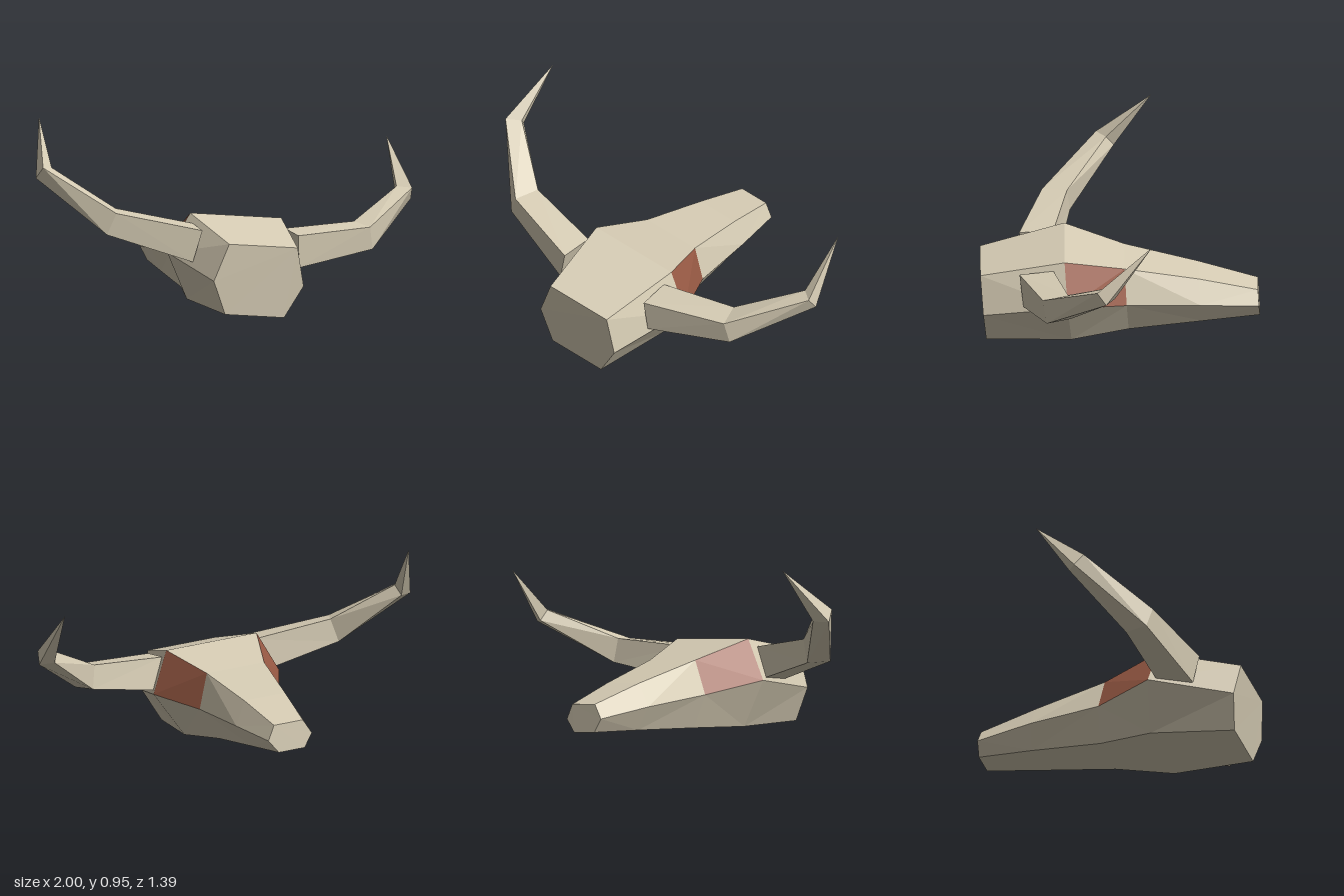
import * as THREE from 'three';

const bone = new THREE.MeshStandardMaterial({ color: 0xd6ccb4, flatShading: true });
bone.name = 'bone';
const rust = new THREE.MeshStandardMaterial({ color: 0x9c5c46, flatShading: true });
rust.name = 'rust';

// Faceted loft through rings of points; keep(i, j) chooses which side faces to make
function loft(rings, { keep = () => true, flip = () => false, caps = true } = {}) {
  const pos = [];
  const tri = (a, b, c) => {
    const n = b.clone().sub(a).cross(c.clone().sub(a));
    if (n.length() > 1e-7) for (const p of [a, b, c]) pos.push(p.x, p.y, p.z);
  };
  const n = rings[0].length;
  for (let i = 0; i < rings.length - 1; i++) {
    for (let j = 0; j < n; j++) {
      if (!keep(i, j)) continue;
      const k = (j + 1) % n;
      const a = rings[i][j], b = rings[i][k], c = rings[i + 1][k], d = rings[i + 1][j];
      if (flip(i, j)) { tri(a, d, b); tri(d, c, b); }
      else { tri(a, d, c); tri(a, c, b); }
    }
  }
  if (caps) {
    const s = rings[0], e = rings[rings.length - 1];
    for (let j = 1; j < n - 1; j++) {
      tri(s[0], s[j], s[j + 1]);
      tri(e[0], e[j + 1], e[j]);
    }
  }
  const g = new THREE.BufferGeometry();
  g.setAttribute('position', new THREE.Float32BufferAttribute(pos, 3));
  g.computeVertexNormals();
  return g;
}

const V = (x, y, z) => new THREE.Vector3(x, y, z);

export function createModel() {
  const model = new THREE.Group();
  model.name = 'hornedSkull';

  const add = (name, geometry, material) => {
    const mesh = new THREE.Mesh(geometry, material);
    mesh.name = name;
    model.add(mesh);
  };

  // Skull: hexagonal sections from cranium to snout,
  // each as [half width, y, z] of the top, middle and bottom corners
  const sections = [
    [[0.183, 0.375, 0.70], [0.24, 0.183, 0.685], [0.158, 0.018, 0.67]],
    [[0.244, 0.472, 0.28], [0.34, 0.265, 0.265], [0.205, 0.036, 0.245]],
    [[0.155, 0.398, -0.02], [0.215, 0.225, -0.03], [0.13, 0.06, -0.04]],
    [[0.11, 0.323, -0.39], [0.17, 0.205, -0.40], [0.10, 0.09, -0.41]],
    [[0.078, 0.25, -0.685], [0.117, 0.177, -0.69], [0.07, 0.11, -0.695]],
  ];
  const rings = sections.map(([t, m, b]) => [
    V(...t), V(-t[0], t[1], t[2]), V(-m[0], m[1], m[2]),
    V(-b[0], b[1], b[2]), V(...b), V(...m),
  ]);
  const flip = (i, j) => (i + (j > 3 ? 1 : 0)) % 2 === 1;
  const isSocket = (i, j) => i === 1 && (j === 1 || j === 5);
  add('skull', loft(rings, { keep: (i, j) => !isSocket(i, j), flip }), bone);

  // Eye sockets: the coloured upper side facets
  for (const [name, side] of [['rightEyeSocket', 1], ['leftEyeSocket', 5]]) {
    add(name, loft(rings, { keep: (i, j) => i === 1 && j === side, flip, caps: false }), rust);
  }

  // Horns: four-sided, bent twice and ending in a point
  // (corners: front top, back top, back bottom, front bottom)
  const tip = [0.93, 0.864, -0.155];
  const horn = [
    [[0.257, 0.413, 0.505], [0.246, 0.427, 0.335], [0.277, 0.265, 0.31], [0.284, 0.25, 0.485]],
    [[0.679, 0.462, 0.39], [0.638, 0.473, 0.265], [0.665, 0.355, 0.25], [0.711, 0.35, 0.37]],
    [[0.988, 0.639, 0.12], [0.923, 0.637, 0.07], [0.938, 0.588, 0.03], [1.004, 0.58, 0.075]],
    [tip, tip, tip, tip],
  ];
  for (const s of [1, -1]) {
    const hornRings = horn.map((ring) => {
      const pts = ring.map(([x, y, z]) => V(s * x, y, z));
      return s > 0 ? pts : pts.reverse();
    });
    add(s > 0 ? 'leftHorn' : 'rightHorn', loft(hornRings, { flip: () => s < 0 }), bone);
  }

  // The skull rests rolled slightly onto its left side
  model.children.forEach((m) => {
    m.geometry.rotateZ(-0.1022).translate(-0.062, 0, 0);
  });
  return model;
}
